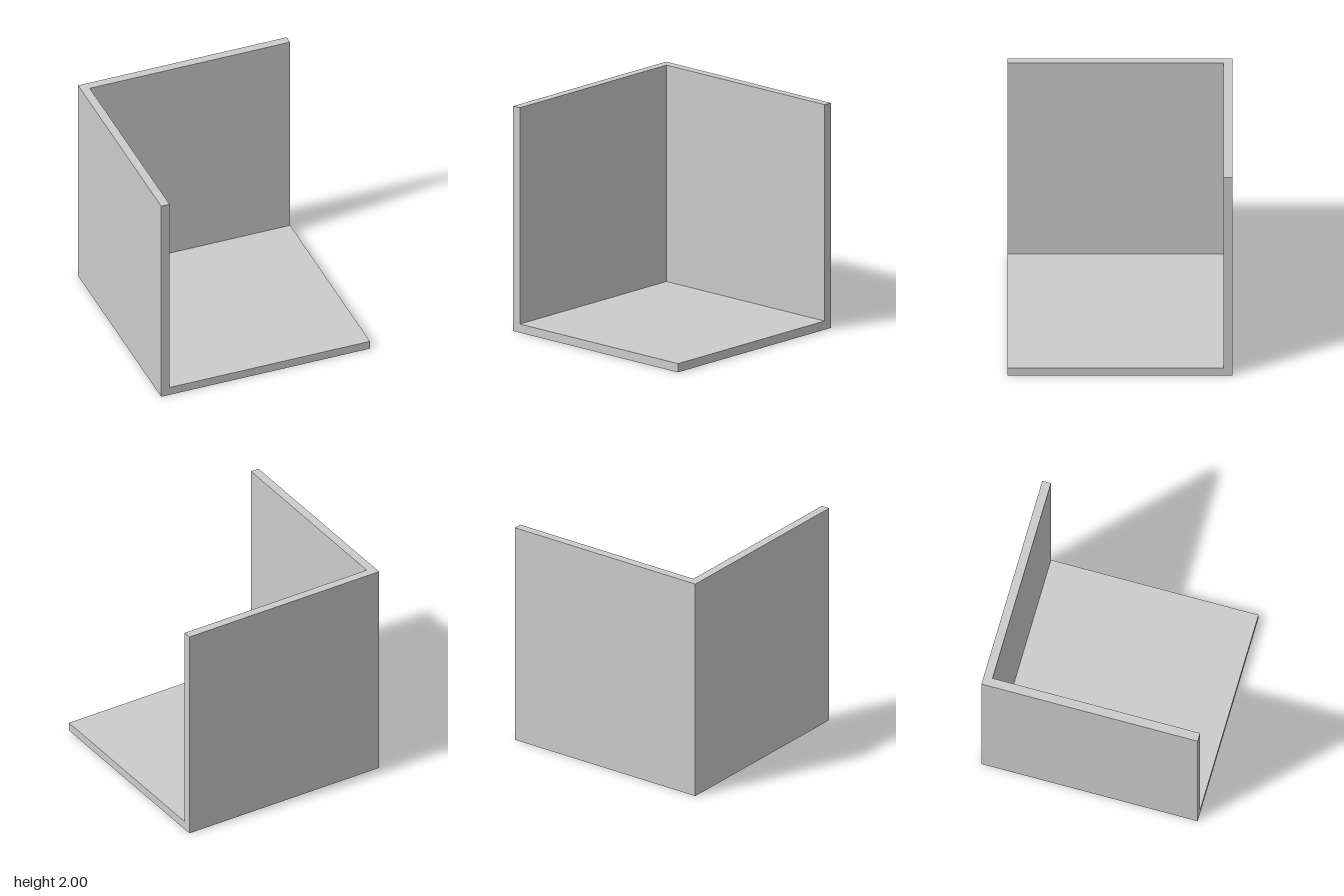
import * as THREE from 'three';

const SIZE = 1.923;  // side of the square floor
const THICK = 0.077; // panel thickness
const HALF = SIZE / 2;
const WALL = 2 - THICK; // wall height above the floor

export function createModel() {
  const model = new THREE.Group();
  model.name = 'cornerRoom';
  const material = new THREE.MeshStandardMaterial({ color: 0xcccccc, flatShading: true });

  const panel = (name, [w, h, d], [x, y, z]) => {
    const mesh = new THREE.Mesh(new THREE.BoxGeometry(w, h, d), material);
    mesh.name = name;
    mesh.position.set(x, y, z);
    model.add(mesh);
  };

  const wallY = THICK + WALL / 2;
  panel('floor', [SIZE, THICK, SIZE], [0, THICK / 2, 0]);
  // Right wall runs the full depth; the back wall butts against it
  panel('rightWall', [THICK, WALL, SIZE], [-HALF + THICK / 2, wallY, 0]);
  panel('backWall', [SIZE - THICK, WALL, THICK], [THICK / 2, wallY, -HALF + THICK / 2]);

  return model;
}
